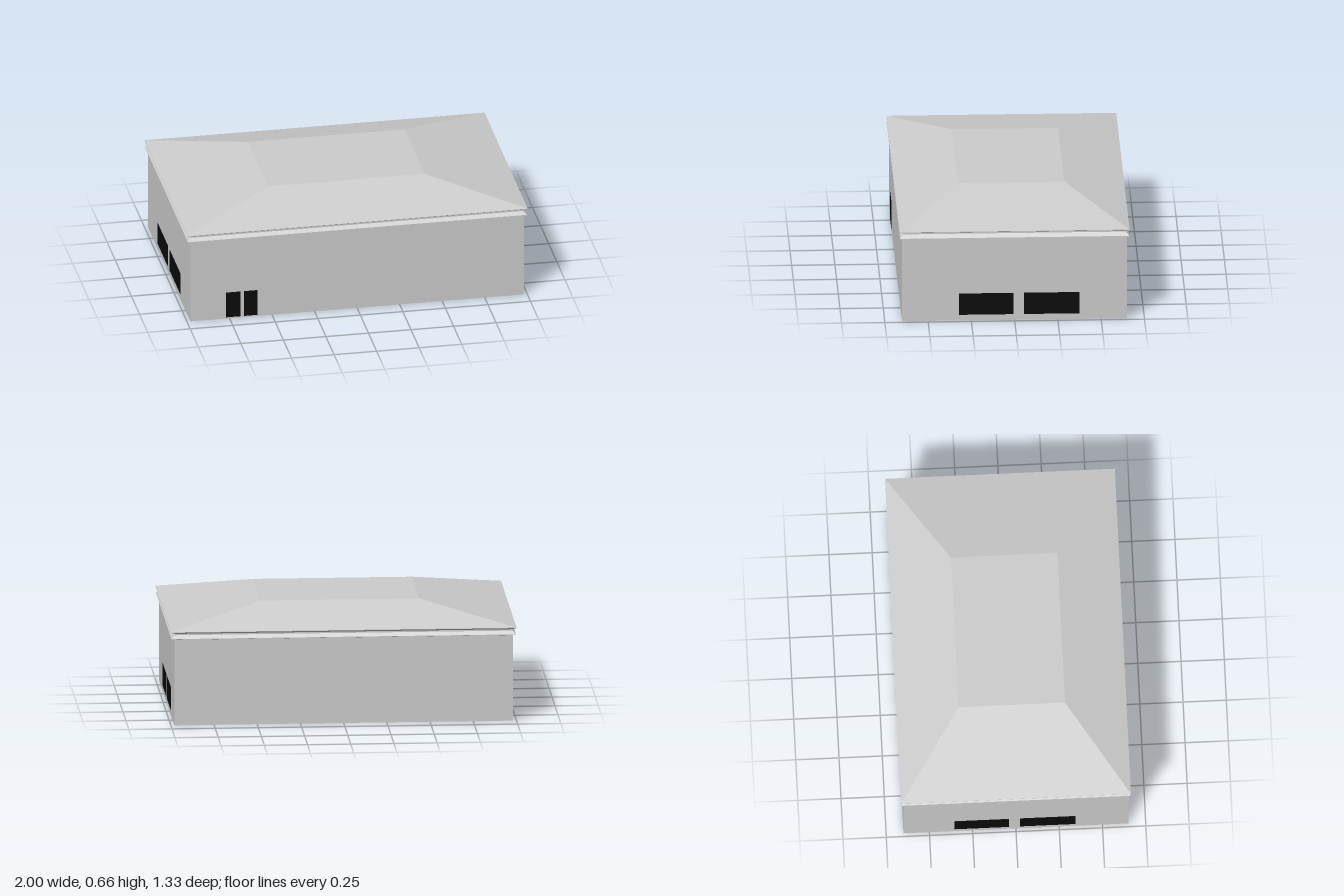
import * as THREE from 'three';

const grey = new THREE.MeshStandardMaterial({ color: 0xcccccc, flatShading: true });
const black = new THREE.MeshStandardMaterial({ color: 0x0a0a0a });

// Box given by its extents on each axis
function box(parent, name, [x0, x1], [y0, y1], [z0, z1], material = grey) {
  const mesh = new THREE.Mesh(new THREE.BoxGeometry(x1 - x0, y1 - y0, z1 - z0), material);
  mesh.position.set((x0 + x1) / 2, (y0 + y1) / 2, (z0 + z1) / 2);
  mesh.name = name;
  parent.add(mesh);
  return mesh;
}

function group(parent, name) {
  const g = new THREE.Group();
  g.name = name;
  parent.add(g);
  return g;
}

// Closed solid from stacked rectangles [halfX, halfZ, y], bottom to top
function rectLoft(rings) {
  const pos = [];
  const loops = rings.map(([x, z, y]) => [[-x, y, z], [x, y, z], [x, y, -z], [-x, y, -z]]);
  const quad = (a, b, c, d) => pos.push(...a, ...b, ...c, ...a, ...c, ...d);
  for (let i = 0; i < loops.length - 1; i++) {
    for (let k = 0; k < 4; k++) {
      const n = (k + 1) % 4;
      quad(loops[i][k], loops[i][n], loops[i + 1][n], loops[i + 1][k]);
    }
  }
  quad(...loops[0].slice().reverse());
  quad(...loops[loops.length - 1]);
  const geo = new THREE.BufferGeometry();
  geo.setAttribute('position', new THREE.Float32BufferAttribute(pos, 3));
  geo.computeVertexNormals();
  return geo;
}

export function createModel() {
  const model = new THREE.Group();
  model.name = 'building';
  const X = 0.98, Z = 0.65, T = 0.012, H = 0.5;

  // Four thin walls, open underneath
  const walls = group(model, 'walls');
  for (const s of [-1, 1]) {
    const span = (half) => [Math.min(s * half, s * (half - T)), Math.max(s * half, s * (half - T))];
    box(walls, 'longWall', [-X, X], [0, H], span(Z));
    box(walls, 'endWall', span(X), [0, H], [-Z + T, Z - T]);
  }

  // Cornice, gutter and flat-topped hipped roof above the ceiling
  const roof = new THREE.Mesh(rectLoft([
    [0.98, 0.65, 0.5], [0.98, 0.65, 0.504], [0.997, 0.662, 0.507], [0.997, 0.662, 0.511],
    [0.975, 0.645, 0.53], [0.975, 0.645, 0.538], [1, 0.664, 0.548], [1, 0.664, 0.551],
    [0.46, 0.308, 0.657],
  ]), grey);
  roof.name = 'roof';
  model.add(roof);

  // Dark window and door panes, set through the walls
  const openings = group(model, 'openings');
  const E = 0.002;
  for (const z of [[0.005, 0.32], [-0.375, -0.055]]) {
    box(openings, 'leftWindow', [X - T - E, X + E], [0.035, 0.165], z, black);
  }
  for (const z of [[-0.355, -0.04], [0.025, 0.345]]) {
    box(openings, 'rightWindow', [-X - E, -X + T + E], [0.035, 0.165], z, black);
  }
  for (const x of [[-0.77, -0.685], [-0.665, -0.585]]) {
    box(openings, 'door', x, [0.008, 0.165], [Z - T - E, Z + E], black);
  }

  // Shelf rack standing in the room
  const rack = group(model, 'shelfRack');
  box(rack, 'rackBack', [-0.09, 0.42], [0, 0.23], [0.262, 0.27]);
  for (const x of [-0.09, 0.412]) box(rack, 'rackSide', [x, x + 0.008], [0, 0.23], [0.22, 0.262]);
  for (let i = 0; i < 5; i++) {
    const y = i * 0.054;
    box(rack, 'shelf', [-0.082, 0.412], [y, y + 0.008], [0.22, 0.262]);
  }

  // Low platform with sloping sides
  const platform = new THREE.Mesh(rectLoft([
    [0.1, 0.095, 0], [0.1, 0.095, 0.025], [0.085, 0.08, 0.045],
  ]), grey);
  platform.position.set(0.7, 0, 0.175);
  platform.name = 'platform';
  model.add(platform);

  // Service counter with a block at each end
  const counter = group(model, 'counter');
  box(counter, 'counterBase', [-0.05, 0.08], [0, 0.02], [0.34, 0.57]);
  box(counter, 'counterFrontBlock', [0.0, 0.08], [0.02, 0.07], [0.5, 0.57]);
  box(counter, 'counterBackBlock', [-0.05, 0.04], [0.02, 0.09], [0.34, 0.39]);

  // Low slatted rail and long bench near the back wall
  const rail = group(model, 'lowRail');
  box(rail, 'railBar', [0.53, 0.54], [0.018, 0.026], [-0.63, -0.29]);
  for (let i = 0; i < 12; i++) {
    const z = -0.625 + i * 0.03;
    box(rail, 'railSlat', [0.53, 0.54], [0, 0.018], [z, z + 0.012]);
  }
  box(model, 'bench', [-0.1, 0.47], [0, 0.02], [-0.615, -0.6]);

  // Small table and stools in the back corner
  const table = group(model, 'cornerTable');
  box(table, 'tableTop', [-0.95, -0.77], [0.065, 0.075], [-0.58, -0.47]);
  for (const x of [-0.945, -0.785]) {
    for (const z of [-0.575, -0.485]) box(table, 'tableLeg', [x, x + 0.01], [0, 0.065], [z, z + 0.01]);
  }
  for (const x of [-0.91, -0.84]) {
    const stool = new THREE.Mesh(new THREE.CylinderGeometry(0.018, 0.014, 0.035, 10), grey);
    stool.position.set(x, 0.0175, -0.53);
    stool.name = 'stool';
    table.add(stool);
  }
  return model;
}
